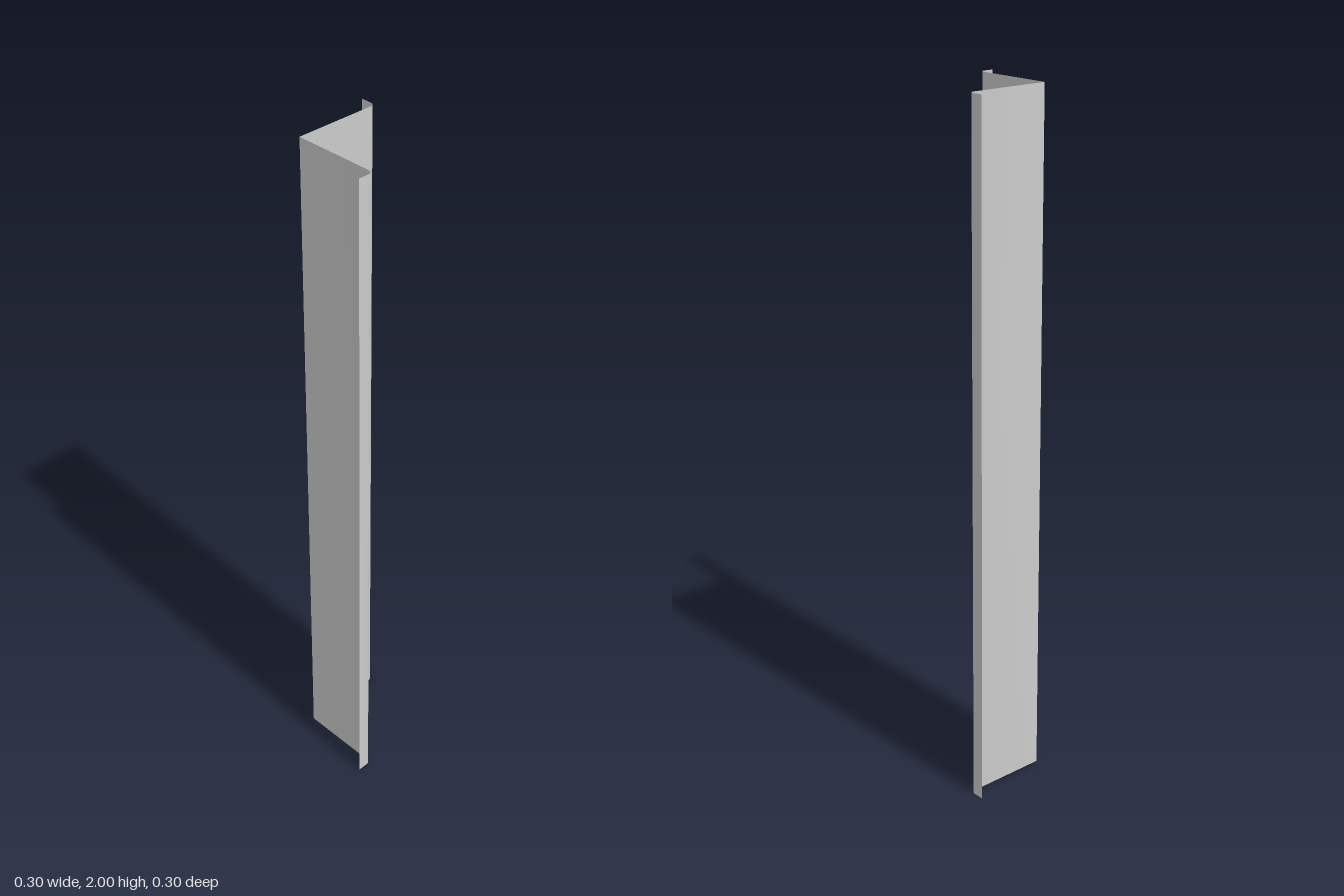
import * as THREE from 'three';
import { toCreasedNormals } from 'three/addons/utils/BufferGeometryUtils.js';

const HEIGHT = 2;
const BEND = 0.015; // radius of the rounded fold

// Vertical sheet standing on a plan path of (x, z) points
function sheet(points) {
  const pos = [];
  for (let i = 0; i < points.length - 1; i++) {
    const a = points[i], b = points[i + 1];
    pos.push(a.x, 0, a.y, b.x, 0, b.y, b.x, HEIGHT, b.y);
    pos.push(a.x, 0, a.y, b.x, HEIGHT, b.y, a.x, HEIGHT, a.y);
  }
  const geo = new THREE.BufferGeometry();
  geo.setAttribute('position', new THREE.Float32BufferAttribute(pos, 3));
  return toCreasedNormals(geo, Math.PI / 6);
}

// Flat flange from the corner, rounded fold, then a short lip at a right angle
function flangePath(corner, fold, lipEnd) {
  const toCorner = corner.clone().sub(fold).normalize();
  const toLip = lipEnd.clone().sub(fold).normalize();
  const start = fold.clone().addScaledVector(toCorner, BEND);
  const end = fold.clone().addScaledVector(toLip, BEND);
  const centre = start.clone().addScaledVector(toLip, BEND);
  const path = [corner, start];
  for (let i = 1; i < 8; i++) {
    const t = (i / 8) * Math.PI / 2;
    path.push(centre.clone()
      .addScaledVector(toLip, -BEND * Math.cos(t))
      .addScaledVector(toCorner, -BEND * Math.sin(t)));
  }
  path.push(end, lipEnd);
  return path;
}

export function createModel() {
  const group = new THREE.Group();
  group.name = 'cornerTrim';
  const material = new THREE.MeshStandardMaterial({ color: 0xcccccc, side: THREE.DoubleSide });
  const v = (x, z) => new THREE.Vector2(x, z);
  const corner = v(-0.105, -0.103);

  const flanges = [
    ['backFlange', v(0.15, -0.103), v(0.15, -0.15)],
    ['sideFlange', v(-0.105, 0.15), v(-0.15, 0.15)],
  ];
  for (const [name, fold, lipEnd] of flanges) {
    const mesh = new THREE.Mesh(sheet(flangePath(corner, fold, lipEnd)), material);
    mesh.name = name;
    group.add(mesh);
  }
  return group;
}
